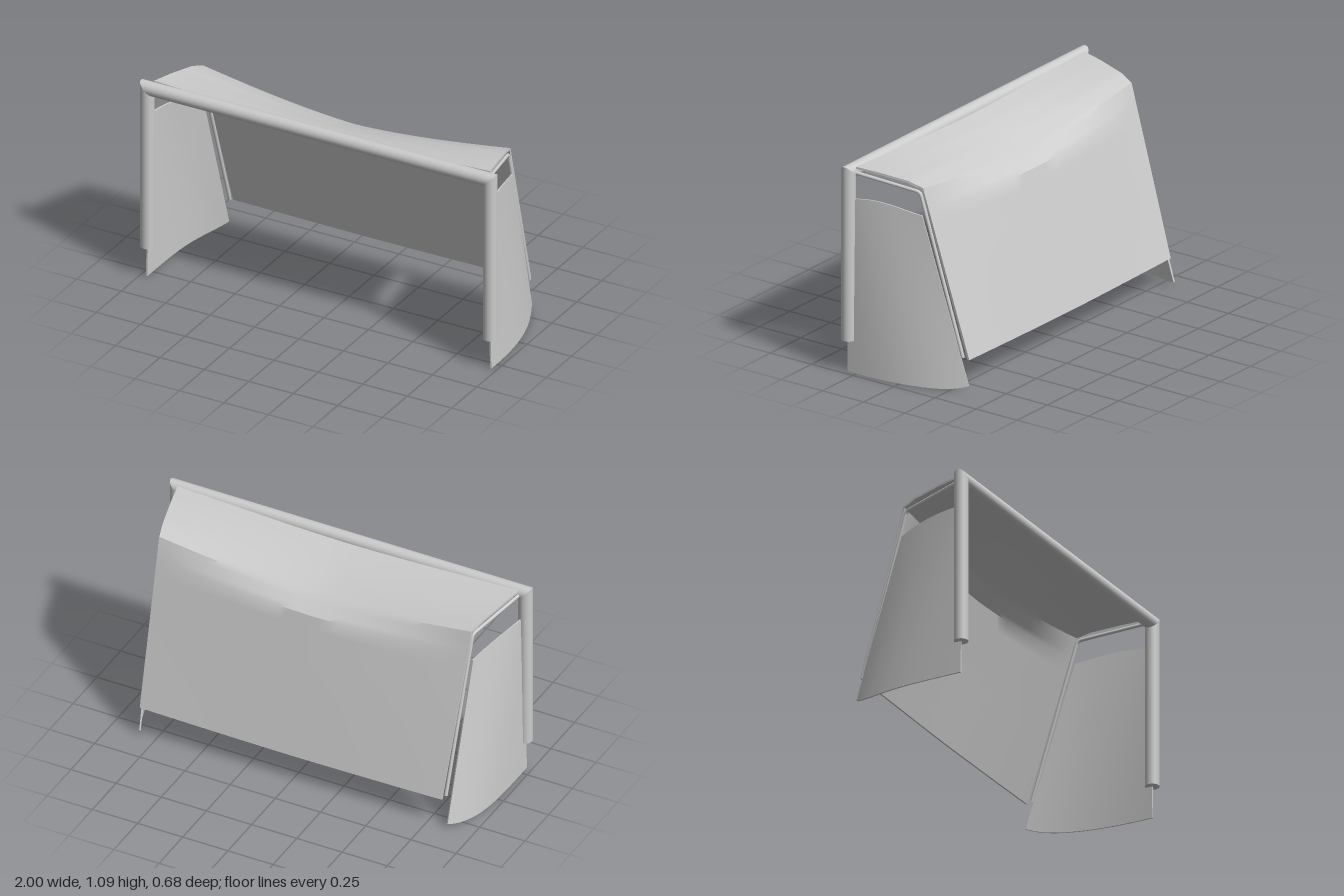
import * as THREE from 'three';
import { toCreasedNormals } from 'three/addons/utils/BufferGeometryUtils.js';

const R = 0.036, POST_X = 0.964, BAR_Y = 1.054, BAR_Z = 0.302;
const lerp = THREE.MathUtils.lerp;
const steel = new THREE.MeshStandardMaterial({ color: 0xcccccc });
const cloth = new THREE.MeshStandardMaterial({ color: 0xcccccc, side: THREE.DoubleSide });

function addMesh(parent, name, geometry, material = steel) {
  const mesh = new THREE.Mesh(geometry, material);
  mesh.name = name;
  parent.add(mesh);
  return mesh;
}

// Thin closed sheet following a surface f(u, v) -> Vector3
function sheet(f, nu, nv, thickness) {
  const pos = [], idx = [], row = nu + 1, layer = row * (nv + 1), e = 0.01;
  for (const side of [0.5, -0.5]) {
    for (let j = 0; j <= nv; j++) {
      for (let i = 0; i <= nu; i++) {
        const u = i / nu, v = j / nv;
        const du = f(Math.min(1, u + e), v).sub(f(Math.max(0, u - e), v));
        const dv = f(u, Math.min(1, v + e)).sub(f(u, Math.max(0, v - e)));
        const p = f(u, v).addScaledVector(du.cross(dv).normalize(), side * thickness);
        pos.push(p.x, p.y, p.z);
      }
    }
  }
  for (let j = 0; j < nv; j++) {
    for (let i = 0; i < nu; i++) {
      const a = j * row + i, b = a + 1, c = b + row, d = a + row, k = layer;
      idx.push(a, b, c, a, c, d, a + k, c + k, b + k, a + k, d + k, c + k);
    }
  }
  // Rim joining both layers
  const loop = [];
  for (let i = 0; i < nu; i++) loop.push(i);
  for (let j = 0; j < nv; j++) loop.push(j * row + nu);
  for (let i = nu; i > 0; i--) loop.push(nv * row + i);
  for (let j = nv; j > 0; j--) loop.push(j * row);
  loop.forEach((p, i) => {
    const q = loop[(i + 1) % loop.length];
    idx.push(p, p + layer, q + layer, p, q + layer, q);
  });
  const g = new THREE.BufferGeometry();
  g.setAttribute('position', new THREE.Float32BufferAttribute(pos, 3));
  g.setIndex(idx);
  return toCreasedNormals(g, 0.6);
}

// Back net rows, front to back: edge z, y, half width, then middle z, y
const NET = [
  [0.27, 1.077, 0.945, 0.27, 1.05],
  [0.15, 1.067, 0.92, 0.17, 1.025],
  [0.0, 1.047, 0.885, 0.05, 0.98],
  [-0.073, 1.022, 0.865, -0.06, 0.93],
  [-0.107, 0.91, 0.86, -0.135, 0.875],
  [-0.201, 0.6, 0.85, -0.213, 0.6],
  [-0.332, 0.168, 0.835, -0.334, 0.16],
];

function backNetPoint(u, v) {
  const t = v * (NET.length - 1), k = Math.min(NET.length - 2, Math.floor(t));
  const [ez, ey, ex, mz, my] = NET[k].map((n, i) => lerp(n, NET[k + 1][i], t - k));
  const s = 2 * u - 1, sag = 1 - Math.abs(s) ** 1.5;
  return new THREE.Vector3(s * ex, lerp(ey, my, sag), lerp(ez, mz, sag));
}

// Side net: s runs front to back, t bottom to top
function sideNetPoint(side, s, t) {
  const backZ = lerp(-0.336, -0.08, t);
  const z = lerp(0.303, backZ, s);
  const bottom = 0.004 + 0.03 * s ** 9;
  const top = side > 0 ? 0.908 + 0.03 * Math.sin(Math.PI * s) * (1 - s) - 0.025 * s ** 3
    : 0.91 - 0.05 * s ** 2.5;
  const bend = side > 0 ? lerp(2.6, 1.3, t) : lerp(4, 1.4, t);
  const backX = side > 0 ? lerp(0.835, 0.872, t) : lerp(0.865, 0.872, t);
  const x = lerp(lerp(0.967, 0.955, t), backX, s ** bend);
  return new THREE.Vector3(side * x, lerp(bottom, top, t), z);
}

export function createModel() {
  const model = new THREE.Group();
  model.name = 'goal';

  // Crossbar with mitred ends
  const bar = new THREE.CylinderGeometry(R, R, 2 * POST_X, 32, 1, true).rotateZ(-Math.PI / 2);
  const bp = bar.attributes.position;
  for (let i = 0; i < bp.count; i++) {
    bp.setX(i, Math.sign(bp.getX(i)) * (POST_X + bp.getY(i)));
  }
  addMesh(model, 'crossbar', bar.translate(0, BAR_Y, BAR_Z));

  for (const side of [-1, 1]) {
    const label = side > 0 ? 'left' : 'right';

    // Post, mitred at the top and capped at the foot
    const foot = 0.172, height = BAR_Y - foot;
    const post = new THREE.CylinderGeometry(R, R, height, 32, 1, true).translate(0, foot + height / 2, 0);
    const pp = post.attributes.position;
    for (let i = 0; i < pp.count; i++) {
      if (pp.getY(i) > 0.5) pp.setY(i, BAR_Y + side * pp.getX(i));
    }
    addMesh(model, label + 'Post', post.translate(side * POST_X, 0, BAR_Z));
    addMesh(model, label + 'PostFoot',
      new THREE.CircleGeometry(R, 32).rotateX(Math.PI / 2).translate(side * POST_X, foot, BAR_Z));

    // Bent rod carrying the back net
    const pts = [[0.945, 1.052, 0.285], [0.862, 1.0, -0.06], [0.842, 0.178, -0.305]]
      .map(([x, y, z]) => new THREE.Vector3(side * x, y, z));
    const bendStart = pts[1].clone().lerp(pts[0], 0.06), bendEnd = pts[1].clone().lerp(pts[2], 0.025);
    const path = new THREE.CurvePath();
    path.add(new THREE.LineCurve3(pts[0], bendStart));
    path.add(new THREE.QuadraticBezierCurve3(bendStart, pts[1], bendEnd));
    path.add(new THREE.LineCurve3(bendEnd, pts[2]));
    addMesh(model, label + 'NetRod', new THREE.TubeGeometry(path, 100, 0.009, 12), cloth);

    // Side net
    addMesh(model, label + 'SideNet',
      sheet((s, t) => sideNetPoint(side, s, t), 28, 16, 0.008), cloth);
  }

  // Sagging top and back net
  addMesh(model, 'backNet', sheet(backNetPoint, 32, 24, 0.012), cloth);

  return model;
}
